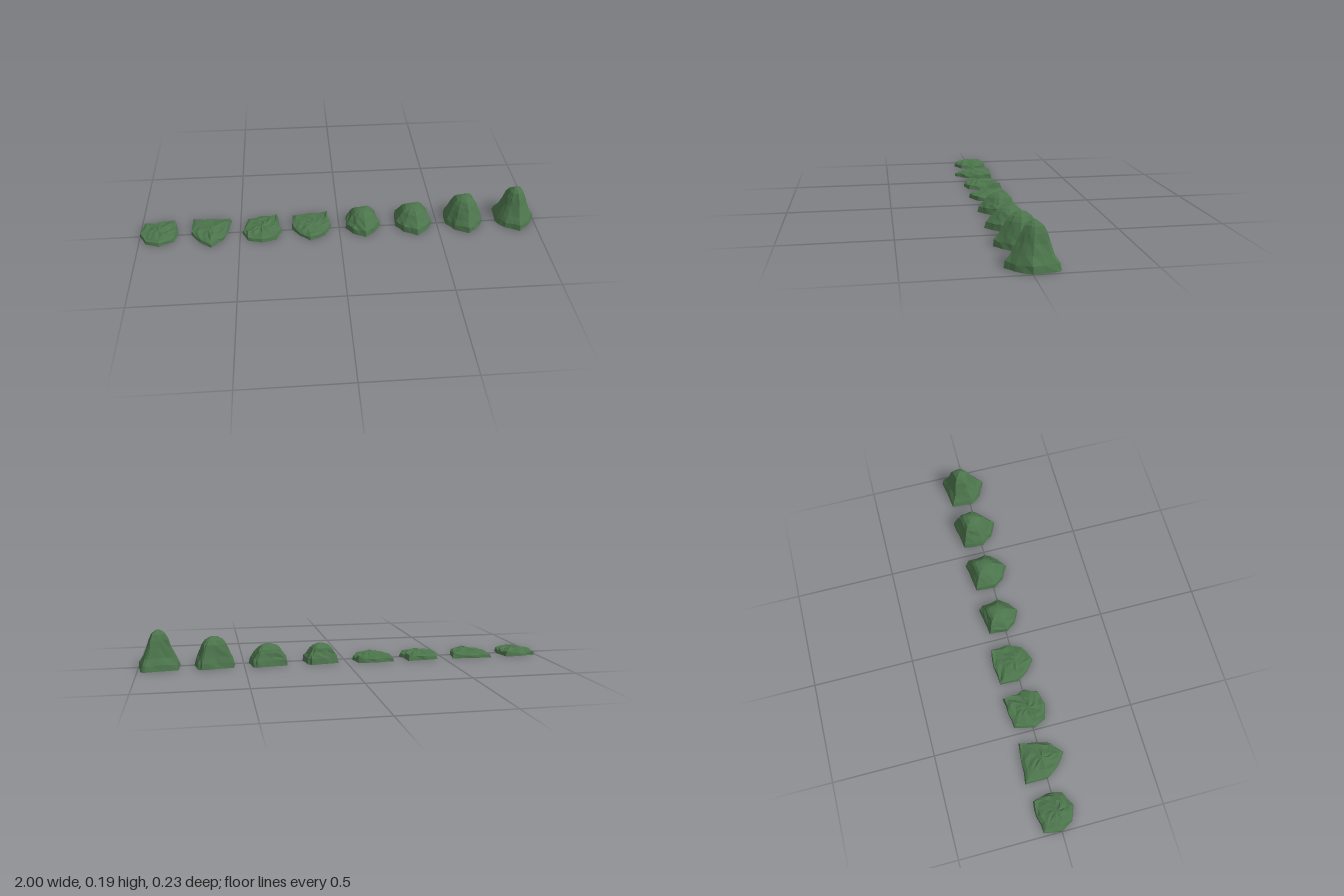
import * as THREE from 'three';

// Ground outlines as [x, z] corners about each mound's centre, clockwise from above
const BELL = [[-0.09, -0.095], [-0.01, -0.105], [0.065, -0.118], [0.085, -0.1], [0.1, 0.0],
  [0.055, 0.062], [0.01, 0.098], [-0.06, 0.062], [-0.098, 0.01]];
const ROUND = [[-0.08, -0.085], [0.0, -0.1], [0.075, -0.095], [0.093, -0.02], [0.08, 0.05],
  [0.01, 0.086], [-0.06, 0.06], [-0.095, 0.0]];
const WEDGE = [[-0.1, -0.11], [0.01, -0.1], [0.1, -0.09], [0.085, -0.01], [0.06, 0.06],
  [0.005, 0.112], [-0.05, 0.07], [-0.1, 0.0]];
const SQUARE = [[-0.075, -0.09], [0.0, -0.1], [0.08, -0.108], [0.085, -0.03], [0.1, 0.01],
  [0.075, 0.07], [0.0, 0.09], [-0.07, 0.07], [-0.1, 0.01]];
const SHIELD = [[-0.095, -0.1], [0.0, -0.11], [0.085, -0.1], [0.1, -0.02], [0.065, 0.055],
  [-0.01, 0.092], [-0.06, 0.05], [-0.1, -0.01]];

// Profiles as [share of outline, height share above the skirt]
const TALL = [[0.93, 0], [0.75, 0.2], [0.57, 0.48], [0.46, 0.7], [0.33, 0.87], [0.15, 0.96]];
const DOME = [[0.94, 0], [0.82, 0.22], [0.7, 0.45], [0.58, 0.7], [0.42, 0.87], [0.2, 0.97]];

function seeded(seed) {
  let s = seed * 7919 + 17;
  return () => (s = (s * 16807) % 2147483647) / 2147483647 - 0.5;
}

// Doubles the corners of an outline, with slightly uneven midpoints
function roughen(outline, rand) {
  return outline.flatMap(([x, z], i) => {
    const [nx, nz] = outline[(i + 1) % outline.length];
    const k = 1 + rand() * 0.08;
    return [[x, z], [(x + nx) / 2 * k, (z + nz) / 2 * k]];
  });
}

// Lofts rings of [x, y, z] up to an apex, open underneath
function loft(rings, apex) {
  const n = rings[0].length;
  const index = [];
  for (let r = 0; r < rings.length - 1; r++) {
    for (let j = 0; j < n; j++) {
      const a = r * n + j, b = r * n + (j + 1) % n;
      index.push(a, b + n, b, a, a + n, b + n);
    }
  }
  const last = (rings.length - 1) * n;
  for (let j = 0; j < n; j++) index.push(last + j, rings.length * n, last + (j + 1) % n);
  const geometry = new THREE.BufferGeometry();
  geometry.setAttribute('position', new THREE.Float32BufferAttribute([...rings.flat(), apex].flat(), 3));
  geometry.setIndex(index);
  const faceted = geometry.toNonIndexed();
  faceted.computeVertexNormals();
  return faceted;
}

// Bell-shaped mound: a short rough skirt with a leaning dome above it
function tallMound(outline, height, profile, rand) {
  const base = roughen(outline, rand);
  const skirt = 0.028;
  const rings = [base.map(([x, z]) => [x, 0, z])];
  for (const [share, f] of profile) {
    const lean = -0.022 * f;
    rings.push(base.map(([x, z]) => {
      const k = share * (1 + rand() * 0.07);
      const y = skirt + (height - skirt) * f + rand() * 0.008 * (1 - f);
      return [x * k, y, z * k + lean];
    }));
  }
  return loft(rings, [0, height, -0.025]);
}

// Low uneven mound with a steep rim and rippled top
function lowMound(outline, height, rand) {
  const base = roughen(outline, rand);
  const rings = [base.map(([x, z]) => [x, 0, z])];
  for (const [share, f] of [[0.96, 0.45], [0.8, 0.68], [0.55, 0.78], [0.28, 0.88]]) {
    rings.push(base.map(([x, z]) => {
      const k = share * (1 + rand() * 0.08);
      // the back right corner kicks up
      const kick = x > 0.06 && z < -0.07 && share > 0.9 ? 0.4 : 0;
      return [x * k, height * Math.min(1, f + kick + rand() * 0.3), z * k];
    }));
  }
  return loft(rings, [0, height, 0]);
}

export function createModel() {
  const group = new THREE.Group();
  const material = new THREE.MeshStandardMaterial({
    color: 0x4c754c, flatShading: true, side: THREE.DoubleSide,
  });
  const mounds = [
    { x: -0.905, outline: ROUND, height: 0.036 },
    { x: -0.645, outline: WEDGE, height: 0.036 },
    { x: -0.39, outline: SQUARE, height: 0.036 },
    { x: -0.14, outline: SHIELD, height: 0.036 },
    { x: 0.12, outline: BELL, height: 0.093, profile: DOME, scale: 0.89 },
    { x: 0.38, outline: BELL, height: 0.1, profile: DOME, scale: 0.96 },
    { x: 0.64, outline: BELL, height: 0.146, profile: DOME, scale: 0.98 },
    { x: 0.9, outline: BELL, height: 0.188, profile: TALL, scale: 1 },
  ];
  mounds.forEach(({ x, outline, height, profile, scale = 1 }, i) => {
    const rand = seeded(i + 1);
    const geometry = profile
      ? tallMound(outline, height, profile, rand)
      : lowMound(outline, height, rand);
    const mesh = new THREE.Mesh(geometry, material);
    mesh.name = (profile ? 'tallMound' : 'lowMound') + (i + 1);
    mesh.position.x = x;
    mesh.scale.set(scale, 1, scale);
    group.add(mesh);
  });
  return group;
}
